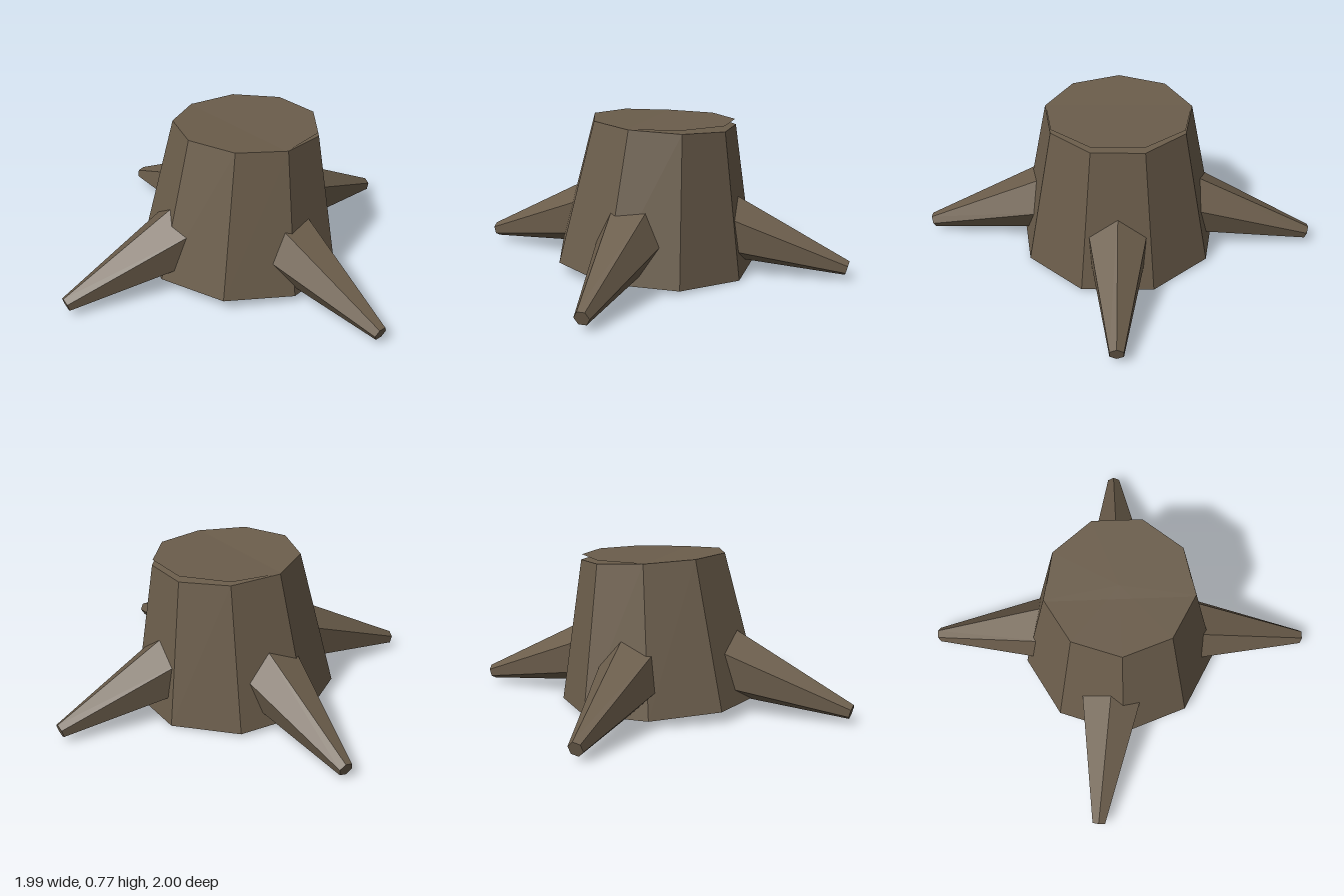
import * as THREE from 'three';

const rad = THREE.MathUtils.degToRad;

export function createModel() {
  const group = new THREE.Group();
  group.name = 'treeStump';

  const bark = new THREE.MeshStandardMaterial({ color: 0x6b5d4b, flatShading: true, side: THREE.DoubleSide });
  bark.name = 'bark brown';

  function add(name, geometry) {
    const mesh = new THREE.Mesh(geometry, bark);
    mesh.name = name;
    group.add(mesh);
    return mesh;
  }

  // Nine-sided tapered trunk, leaning slightly to +x, with a corner at -x
  const trunk = new THREE.CylinderGeometry(0.369, 0.519, 0.716, 9);
  trunk.rotateY(-Math.PI / 2);
  trunk.rotateZ(rad(-3.7));
  trunk.translate(0.018, 0.392, 0);
  add('trunk', trunk);

  // Level cut face, which overhangs the leaning trunk top on one side
  const cut = new THREE.CircleGeometry(0.366, 9);
  cut.rotateX(-Math.PI / 2);
  cut.rotateY(Math.PI);
  cut.translate(0.039, 0.754, 0);
  add('cutFace', cut);

  // Six-sided roots running outwards and down: tip position and twist
  const slope = rad(15.5);
  const length = 0.71;
  const roots = [
    ['frontRoot', -0.02, 0.99, 30],
    ['leftRoot', 0.983, 0, 0],
    ['backRoot', 0.066, -0.988, 15],
    ['rightRoot', -0.985, -0.143, 0],
  ];
  for (const [name, x, z, twist] of roots) {
    const root = new THREE.CylinderGeometry(0.037, 0.184, length, 6);
    root.translate(0, -length / 2, 0); // tip at the origin
    root.rotateY(rad(twist));
    root.rotateX(Math.PI / 2 + slope);
    root.rotateY(Math.atan2(x, z));
    root.translate(x, 0.06, z);
    add(name, root);
  }

  return group;
}
